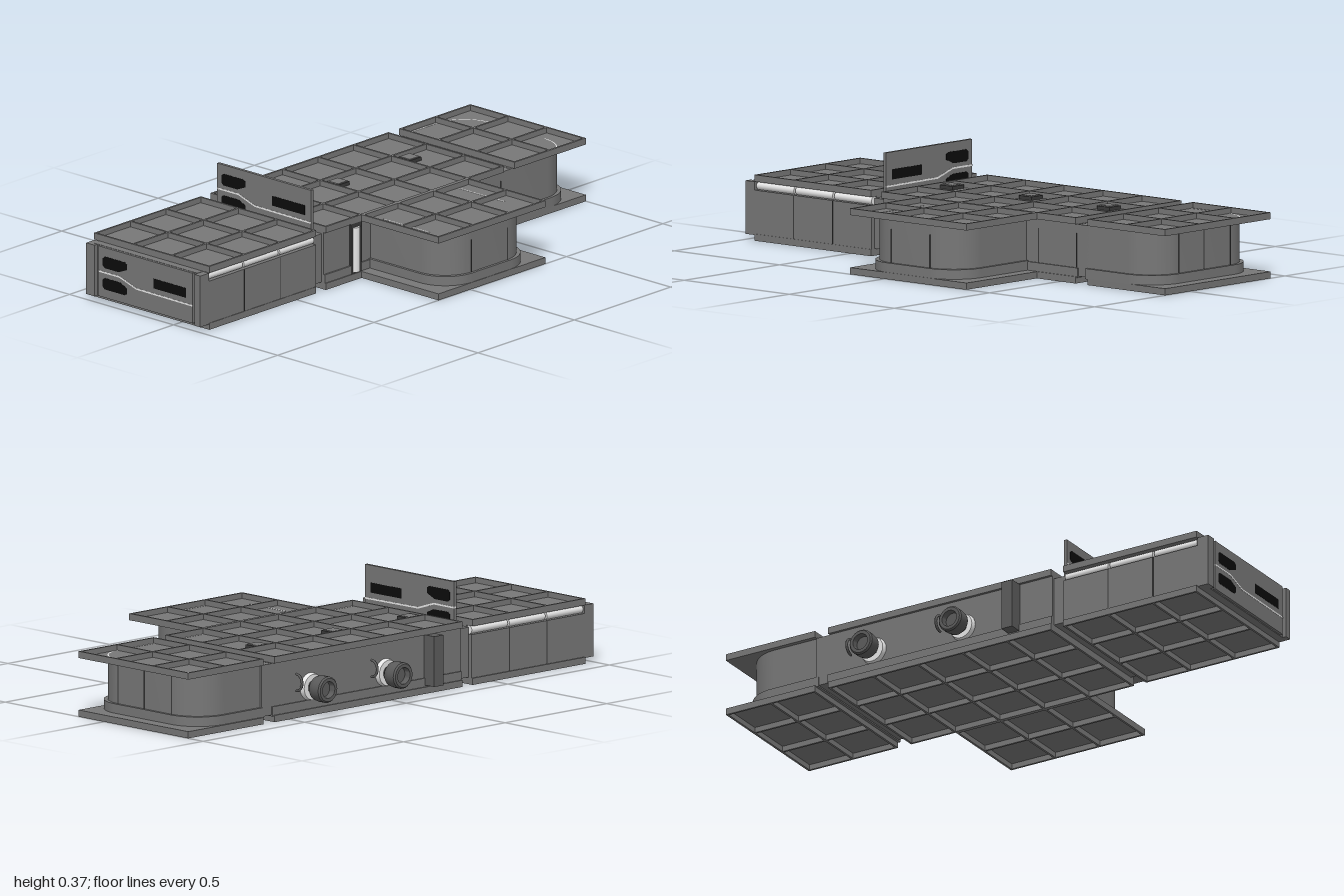
import * as THREE from 'three';
import { toCreasedNormals } from 'three/addons/utils/BufferGeometryUtils.js';

const material = (name, color) => {
  const m = new THREE.MeshStandardMaterial({ color });
  m.name = name;
  return m;
};

export function createModel() {
  const root = new THREE.Group();
  root.name = 'modularStation';
  const grey = material('hullGrey', 0x777777);
  const darkGrey = material('fittingGrey', 0x5c5c5c);
  const seamGrey = material('seamGrey', 0x3a3a3a);
  const black = material('windowBlack', 0x0c0c0c);
  const white = material('lightWhite', 0xeeeeee);

  const add = (name, geo, mat, parent = root) => {
    const mesh = new THREE.Mesh(geo, mat);
    mesh.name = name;
    parent.add(mesh);
    return mesh;
  };
  // Box given by its extents on each axis
  const box = (name, mat, [x0, x1], [y0, y1], [z0, z1], parent = root) => {
    const g = new THREE.BoxGeometry(x1 - x0, y1 - y0, z1 - z0);
    g.translate((x0 + x1) / 2, (y0 + y1) / 2, (z0 + z1) / 2);
    return add(name, g, mat, parent);
  };
  const group = (name, parent = root) => {
    const g = new THREE.Group();
    g.name = name;
    parent.add(g);
    return g;
  };

  // Tiled deck: a thin sheet with upstanding ribs around every tile
  const T = 0.185;
  const deck = (name, x0, z0, nx, nz, sheetY, ribY) => {
    const g = group(name);
    const x1 = x0 + nx * T, z1 = z0 + nz * T;
    const sheet = ribY > sheetY ? [sheetY - 0.004, sheetY] : [sheetY, sheetY + 0.004];
    const ribs = [Math.min(sheetY, ribY), Math.max(sheetY, ribY)];
    box('deckSheet', grey, [x0, x1], sheet, [z0, z1], g);
    for (let i = 0; i <= nx; i++) {
      const x = Math.min(Math.max(x0 + i * T, x0 + 0.004), x1 - 0.004);
      box('deckRib', grey, [x - 0.004, x + 0.004], ribs, [z0, z1], g);
    }
    for (let j = 0; j <= nz; j++) {
      const z = Math.min(Math.max(z0 + j * T, z0 + 0.004), z1 - 0.004);
      box('deckRib', grey, [x0, x1], ribs, [z - 0.004, z + 0.004], g);
    }
  };
  const decks = [
    ['rightWing', -0.955, -0.425, 3, 3],
    ['hall', -0.35, -0.425, 5, 3],
    ['frontBay', -0.165, 0.13, 3, 2],
    ['leftWing', 0.63, -0.425, 2, 3],
  ];
  for (const [n, x, z, nx, nz] of decks) {
    deck(n + 'Roof', x, z, nx, nz, 0.215, 0.235);
    deck(n + 'Floor', x, z, nx, nz, 0.02, 0);
  }

  // Straight-walled rooms
  box('rightWingBody', grey, [-0.985, -0.4], [0.02, 0.18], [-0.42, 0.128]);
  box('rightWingUpper', grey, [-0.985, -0.4], [0.18, 0.211], [-0.395, 0.1]);
  box('hallBody', grey, [-0.35, 0.58], [0.02, 0.211], [-0.415, 0.12]);
  box('hallSkirting', grey, [-0.35, 0.58], [0.02, 0.055], [-0.42, 0.126]);
  box('rightConnector', grey, [-0.4, -0.35], [0.025, 0.205], [-0.405, 0.11]);
  box('leftConnector', grey, [0.58, 0.63], [0.025, 0.21], [-0.415, 0.12]);

  // Room with two rounded outer corners; outline runs in x and z
  const curvedRoom = (name, outline, y0, y1) => {
    const g = new THREE.ExtrudeGeometry(outline, { depth: y1 - y0, bevelEnabled: false, curveSegments: 10 });
    g.rotateX(Math.PI / 2).translate(0, y1, 0);
    add(name, toCreasedNormals(g, 0.6), grey);
  };
  const wingOutline = (d) => {
    const x0 = 0.62, x1 = 0.94 + d, z0 = -0.408 - d, z1 = 0.12 + d, r = 0.13;
    const s = new THREE.Shape();
    s.moveTo(x0, z0);
    s.lineTo(x1 - r, z0);
    s.absarc(x1 - r, z0 + r, r, -Math.PI / 2, 0, false);
    s.absarc(x1 - r, z1 - r, r, 0, Math.PI / 2, false);
    s.lineTo(x0, z1);
    return s;
  };
  const bayOutline = (d) => {
    const x0 = -0.107 - d, x1 = 0.332 + d, z0 = 0.1, z1 = 0.488 + d, r = 0.13;
    const s = new THREE.Shape();
    s.moveTo(x0, z0);
    s.lineTo(x1, z0);
    s.absarc(x1 - r, z1 - r, r, 0, Math.PI / 2, false);
    s.absarc(x0 + r, z1 - r, r, Math.PI / 2, Math.PI, false);
    return s;
  };
  for (const [n, outline] of [['leftWing', wingOutline], ['frontBay', bayOutline]]) {
    curvedRoom(n + 'Body', outline(0), 0.02, 0.211);
    curvedRoom(n + 'Skirting', outline(0.01), 0.02, 0.058);
  }

  // Light trim lying in the roof tiles above the walls
  const trim = (xs, zs) => box('roofTrim', white, xs, [0.2145, 0.2158], zs);
  trim([-0.107, -0.102], [0.18, 0.4]);
  trim([0.326, 0.331], [0.14, 0.36]);
  trim([0.025, 0.2], [0.484, 0.489]);
  trim([-0.345, -0.22], [0.116, 0.12]);
  trim([0.4, 0.57], [0.116, 0.12]);
  trim([0.635, 0.81], [0.117, 0.12]);
  trim([0.635, 0.81], [-0.41, -0.406]);
  for (const [zc, a] of [[-0.278, 0], [-0.01, -Math.PI / 2]]) {
    const arc = new THREE.RingGeometry(0.127, 0.131, 16, 1, a, Math.PI / 2);
    add('roofTrimArc', arc.rotateX(-Math.PI / 2).translate(0.81, 0.2157, zc), white);
  }

  // Light bars under both long roof edges of the right wing
  for (const z of [0.108, -0.402]) {
    for (let i = 0; i < 3; i++) {
      const g = new THREE.CylinderGeometry(0.015, 0.015, T - 0.008, 16);
      g.rotateZ(Math.PI / 2).translate(-0.955 + (i + 0.5) * T, 0.195, z);
      add('lightBar', g, white);
    }
  }

  // Wall seams
  const seam = (x, zFace) => box('wallSeam', seamGrey, [x - 0.002, x + 0.002], [0.025, 0.178], [zFace - 0.001, zFace + 0.001]);
  for (const x of [-0.77, -0.585]) [0.128, -0.42].forEach((z) => seam(x, z));
  for (const x of [0.02, 0.205]) seam(x, 0.488);
  for (const x of [0.39, 0.57]) seam(x, 0.121);
  for (const z of [-0.28, -0.14, -0.01]) {
    box('wallSeam', seamGrey, [0.939, 0.941], [0.058, 0.211], [z - 0.002, z + 0.002]);
  }

  // Gate panel with dark windows and a stepped light slit; points are [z, y]
  const plate = (name, pts, thickness, mat, parent) => {
    const s = new THREE.Shape(pts.map(([z, y]) => new THREE.Vector2(z, y)));
    const g = new THREE.ExtrudeGeometry(s, { depth: thickness, bevelEnabled: false });
    g.rotateY(-Math.PI / 2).translate(thickness / 2, 0, 0);
    add(name, g, mat, parent);
  };
  const gate = (name, x, y) => {
    const g = group(name);
    g.position.set(x, y, 0);
    box('gatePanel', grey, [-0.006, 0.006], [-0.093, 0.093], [-0.365, 0.086], g);
    plate('longWindow', [[-0.1, -0.005], [0.056, -0.005], [0.056, 0.031], [-0.1, 0.031]], 0.014, black, g);
    plate('upperWindow', [[-0.335, 0.017], [-0.268, 0.017], [-0.228, 0.034], [-0.228, 0.053],
      [-0.238, 0.06], [-0.335, 0.06], [-0.344, 0.052], [-0.344, 0.025]], 0.014, black, g);
    plate('lowerWindow', [[-0.335, -0.062], [-0.238, -0.062], [-0.228, -0.054], [-0.228, -0.035],
      [-0.262, -0.02], [-0.335, -0.02], [-0.344, -0.027], [-0.344, -0.054]], 0.014, black, g);
    plate('lightSlit', [[0.086, -0.031], [0.086, -0.025], [-0.183, -0.023], [-0.262, 0.003], [-0.365, 0.003],
      [-0.365, -0.003], [-0.264, -0.003], [-0.184, -0.029]], 0.0134, white, g);
  };
  gate('raisedGate', -0.373, 0.274);
  gate('endGate', -0.989, 0.117);
  for (const z of [[-0.42, -0.38], [0.1, 0.128]]) {
    box('endPost', grey, [-1, -0.955], [0.02, 0.21], z);
  }

  // Roof hatches
  for (const x of [-0.31, 0.065, 0.437]) {
    box('hatchFrame', seamGrey, [x - 0.03, x + 0.03], [0.215, 0.228], [-0.225, -0.167]);
    box('hatchLid', grey, [x - 0.025, x + 0.025], [0.215, 0.231], [-0.22, -0.172]);
  }

  // Docking ports on the back wall
  const portProfile = [[0.026, 0.005], [0.026, 0.03], [0.036, 0.03], [0.044, 0.04], [0.047, 0.06], [0.047, 0.088],
    [0.042, 0.094], [0.03, 0.094], [0.028, 0.07], [0, 0.07]].map(([r, h]) => new THREE.Vector2(r, h));
  for (const x of [0.02, 0.39]) {
    const port = group('dockingPort');
    port.position.set(x, 0.102, -0.415);
    port.rotation.x = -Math.PI / 2;
    add('portNozzle', toCreasedNormals(new THREE.LatheGeometry(portProfile, 24), 0.6), darkGrey, port);
    add('portLightRing', new THREE.CylinderGeometry(0.046, 0.05, 0.018, 24).translate(0, 0.008, 0), white, port);
    const hook = new THREE.TorusGeometry(0.03, 0.005, 6, 12, Math.PI);
    hook.rotateZ(-Math.PI / 2).rotateY(Math.PI / 2).translate(x + 0.085, 0.13, -0.432);
    add('portHook', hook, darkGrey);
  }

  // Service column at the back and lit doorway column at the front
  box('serviceColumn', darkGrey, [-0.215, -0.17], [0.03, 0.211], [-0.467, -0.41]);
  box('doorFrame', seamGrey, [-0.215, -0.16], [0.022, 0.211], [0.118, 0.127]);
  const column = new THREE.CylinderGeometry(0.02, 0.02, 0.165, 20);
  add('lightColumn', column.translate(-0.188, 0.112, 0.118), white);

  return root;
}
